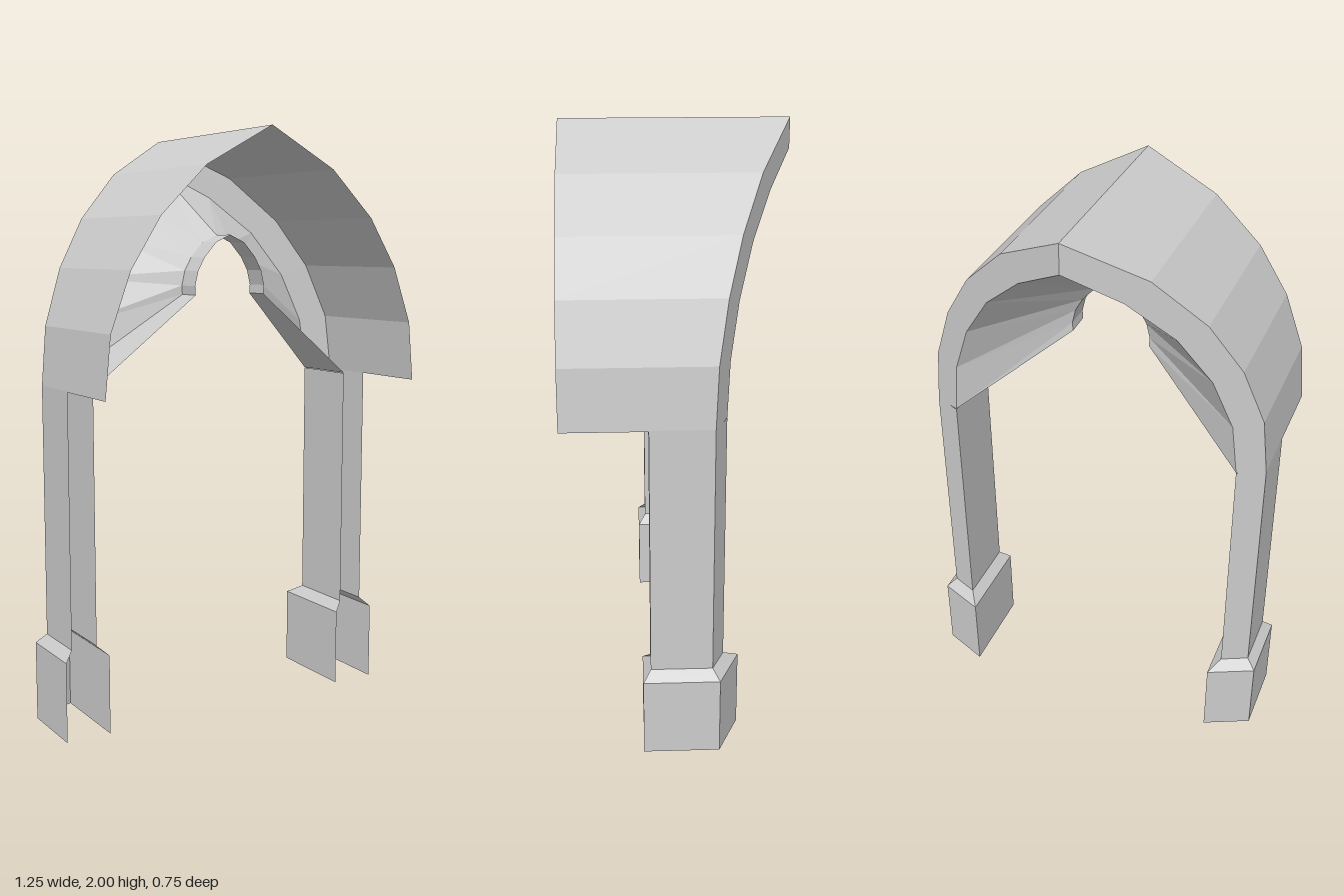
import * as THREE from 'three';

// Flat-shaded strip of quads between two equally long rows of points
function strip(a, b) {
  const p = [];
  for (let i = 0; i < a.length - 1; i++) {
    p.push(...a[i], ...b[i], ...b[i + 1], ...a[i], ...b[i + 1], ...a[i + 1]);
  }
  const g = new THREE.BufferGeometry();
  g.setAttribute('position', new THREE.Float32BufferAttribute(p, 3));
  g.computeVertexNormals();
  return g;
}

// Half profile (springing to apex) mirrored into a whole arch, with z given by rule
function arch(half, zAt) {
  const right = half.slice(0, -1).reverse().map(([x, y]) => [-x, y]);
  return [...half, ...right].map(([x, y]) => [x, y, zAt(x)]);
}

export function createModel() {
  const stone = new THREE.MeshStandardMaterial({ color: 0xcccccc, side: THREE.DoubleSide, flatShading: true });
  stone.name = 'paleStone';
  const model = new THREE.Group();
  model.name = 'pointedArch';
  const add = (name, a, b, parent = model) => {
    const mesh = new THREE.Mesh(strip(a, b), stone);
    mesh.name = name;
    parent.add(mesh);
  };

  // The back is a shallow prow, furthest back at the centre
  const prow = x => -0.375 + 0.455 * Math.abs(x);
  const outer = [[0.595, 1.16], [0.575, 1.36], [0.505, 1.55], [0.4, 1.715], [0.24, 1.87], [0, 2]];
  const inner = [[0.505, 1.165], [0.485, 1.345], [0.42, 1.515], [0.315, 1.67], [0.17, 1.8], [0, 1.9]];
  const small = [[0.135, 1.46], [0.137, 1.49], [0.125, 1.54], [0.1, 1.585], [0.055, 1.635], [0, 1.66]];
  const rimBack = 0.035, rimFront = 0.125;

  // Roof, back rim, funnel vault and small opening
  const outerBack = arch(outer, prow), innerBack = arch(inner, prow);
  const smallBack = arch(small, () => rimBack), smallFront = arch(small, () => rimFront);
  add('roofShell', arch(outer, () => 0.375), outerBack);
  add('backRim', outerBack, innerBack);
  add('vault', innerBack, smallBack);
  add('openingRim', smallBack, smallFront);

  // Legs are U-shaped sections, open to the front: outer wall, back, inner wall
  const section = (y, xo, xi, front, backO, backI) =>
    [[xo, y, front], [xo, y, backO], [xi, y, backI], [xi, y, front]];
  const base = y => section(y, 0.627, 0.47, 0.125, -0.128, -0.198);
  const shaft = y => section(y, 0.595, 0.505, 0.1, prow(0.595), prow(0.505));

  for (const side of [1, -1]) {
    const leg = new THREE.Group();
    leg.name = side > 0 ? 'leftLeg' : 'rightLeg';
    model.add(leg);
    const flip = row => row.map(([x, y, z]) => [side * x, y, z]);
    const part = (name, a, b) =>
      side > 0 ? add(name, a, b, leg) : add(name, flip(b), flip(a), leg);
    part('shaft', shaft(1.163), shaft(0.305));
    part('baseChamfer', shaft(0.305), base(0.273));
    part('base', base(0.273), base(0));
    // Sloping underside from the leg top to the small opening
    part('vaultSoffit',
      [[0.505, 1.165, 0.1], [0.505, 1.165, prow(0.505)]],
      [[0.135, 1.46, rimFront], [0.135, 1.46, rimBack]]);
  }
  return model;
}
